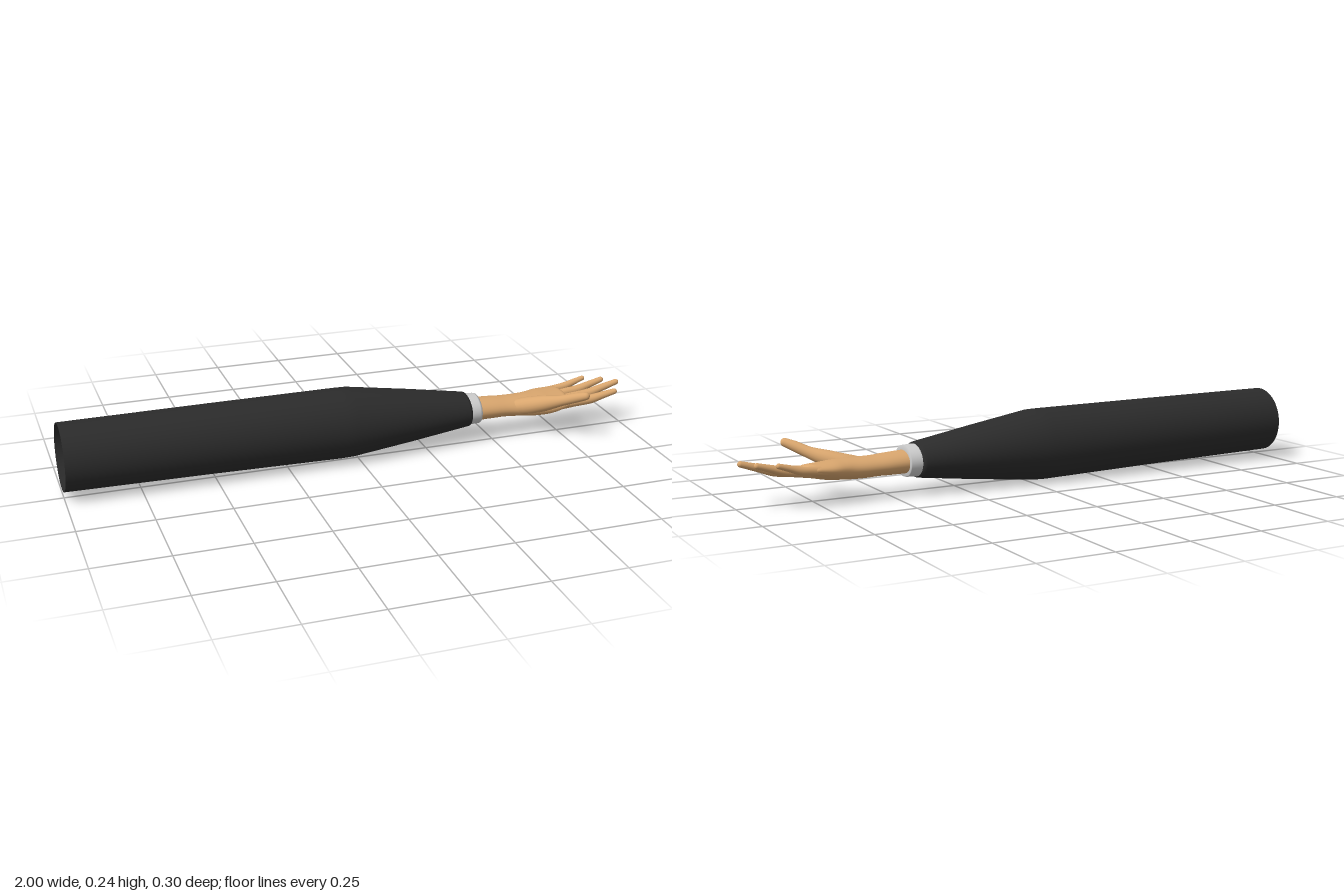
import * as THREE from 'three';

const UP = new THREE.Vector3(0, 1, 0);

// Rows of [x, y, z, height radius, width radius, roll] -> smooth rows
function refine(rows, steps) {
  const curve = new THREE.CatmullRomCurve3(rows.map(r => new THREE.Vector3(r[0], r[1], r[2])), false, 'centripetal');
  const radii = new THREE.CatmullRomCurve3(rows.map(r => new THREE.Vector3(r[3], r[4], r[5] || 0)), false, 'centripetal');
  return Array.from({ length: steps + 1 }, (_, i) => {
    const p = curve.getPoint(i / steps), r = radii.getPoint(i / steps);
    return [p.x, p.y, p.z, r.x, r.y, r.z];
  });
}

// Elliptical cross-sections swept along the row centres, optionally with a domed end
function loft(rows, sides, domed) {
  const centre = i => new THREE.Vector3(...rows[i].slice(0, 3));
  const last = rows.length - 1;
  const pos = [], index = [];
  const ring = (c, side, up, h, w, roll) => {
    for (let j = 0; j < sides; j++) {
      const a = j / sides * Math.PI * 2;
      const s = Math.cos(a) * w, u = Math.sin(a) * h;
      const p = c.clone()
        .addScaledVector(side, s * Math.cos(roll) - u * Math.sin(roll))
        .addScaledVector(up, s * Math.sin(roll) + u * Math.cos(roll));
      pos.push(p.x, p.y, p.z);
    }
  };
  rows.forEach((r, i) => {
    const t = centre(Math.min(i + 1, last)).sub(centre(Math.max(i - 1, 0))).normalize();
    const side = UP.clone().cross(t).normalize();
    const up = t.clone().cross(side);
    ring(centre(i), side, up, r[3], r[4], r[5] || 0);
    if (domed && i === last) {
      for (let k = 1; k <= 5; k++) {
        const a = k / 5 * Math.PI / 2, f = Math.max(Math.cos(a), 0.01);
        ring(centre(i).addScaledVector(t, r[3] * Math.sin(a)), side, up, r[3] * f, r[4] * f, r[5] || 0);
      }
    }
  });
  const count = pos.length / 3 / sides;
  for (let i = 0; i < count - 1; i++) {
    for (let j = 0; j < sides; j++) {
      const k = (j + 1) % sides;
      const a = i * sides + j, b = i * sides + k, c = a + sides, d = b + sides;
      index.push(a, b, c, b, d, c);
    }
  }
  const geo = new THREE.BufferGeometry();
  geo.setAttribute('position', new THREE.Float32BufferAttribute(pos, 3));
  geo.setIndex(index);
  geo.computeVertexNormals();
  return geo;
}

export function createModel() {
  const model = new THREE.Group();
  model.name = 'arm';
  const cloth = new THREE.MeshStandardMaterial({ color: 0x2b2b2b, side: THREE.DoubleSide });
  const linen = new THREE.MeshStandardMaterial({ color: 0xcccccc, side: THREE.DoubleSide });
  const skin = new THREE.MeshStandardMaterial({ color: 0xd9a66e });
  const add = (parent, name, geo, mat) => {
    const mesh = new THREE.Mesh(geo, mat);
    mesh.name = name;
    parent.add(mesh);
  };

  // Jacket sleeve, open at the shoulder and turned in at the hem
  add(model, 'sleeve', loft([
    [-1, 0.135, -0.026, 0.113, 0.114],
    [-0.5, 0.13, -0.031, 0.117, 0.118],
    [-0.06, 0.124, -0.035, 0.121, 0.121],
    [-0.02, 0.124, -0.035, 0.12, 0.12],
    [0.2, 0.118, -0.038, 0.09, 0.098],
    [0.4, 0.113, -0.04, 0.06, 0.076],
    [0.41, 0.113, -0.04, 0.058, 0.074],
    [0.412, 0.113, -0.04, 0.05, 0.06],
  ], 48), cloth);

  // Shirt cuff
  add(model, 'cuff', loft([
    [0.395, 0.112, -0.04, 0.054, 0.068],
    [0.445, 0.112, -0.038, 0.052, 0.065],
    [0.45, 0.112, -0.038, 0.051, 0.064],
    [0.451, 0.112, -0.038, 0.036, 0.055],
  ], 40), linen);

  const hand = new THREE.Group();
  hand.name = 'hand';
  model.add(hand);

  // Wrist and palm, tilted up towards the little finger
  add(hand, 'palm', loft(refine([
    [0.41, 0.111, -0.036, 0.039, 0.057, 0],
    [0.52, 0.108, -0.038, 0.036, 0.055, 0],
    [0.6, 0.105, -0.037, 0.035, 0.056, 0.05],
    [0.66, 0.105, -0.032, 0.034, 0.068, 0.12],
    [0.72, 0.107, -0.037, 0.03, 0.074, 0.15],
    [0.775, 0.112, -0.042, 0.022, 0.069, 0.15],
  ], 24), 32, true), skin);

  // Thumb with its fleshy base, spread forward and upward
  add(hand, 'thumb', loft(refine([
    [0.56, 0.105, -0.02, 0.022, 0.022],
    [0.63, 0.113, 0.003, 0.031, 0.032],
    [0.68, 0.128, 0.036, 0.028, 0.028],
    [0.73, 0.147, 0.075, 0.019, 0.019],
    [0.765, 0.165, 0.108, 0.017, 0.017],
    [0.79, 0.176, 0.13, 0.014, 0.014],
  ], 20), 20, true), skin);

  // Fingers: root, middle joint and tip centres, then size
  const fingers = [
    ['indexFinger', [0.74, 0.099, 0.003], [0.87, 0.111, 0.014], [0.958, 0.134, 0.025], 1],
    ['middleFinger', [0.74, 0.1, -0.031], [0.88, 0.117, -0.027], [0.988, 0.149, -0.023], 1],
    ['ringFinger', [0.74, 0.106, -0.065], [0.86, 0.121, -0.065], [0.95, 0.147, -0.066], 0.96],
    ['littleFinger', [0.73, 0.115, -0.092], [0.82, 0.125, -0.098], [0.893, 0.147, -0.1], 0.85],
  ];
  for (const [name, root, mid, tip, s] of fingers) {
    const between = (a, b, f) => a.map((v, i) => v + (b[i] - v) * f);
    add(hand, name, loft(refine([
      [...root, 0.019 * s, 0.019 * s],
      [...between(root, mid, 0.55), 0.0165 * s, 0.016 * s],
      [...mid, 0.016 * s, 0.016 * s],
      [...between(mid, tip, 0.5), 0.013 * s, 0.0135 * s],
      [...tip, 0.01 * s, 0.011 * s],
    ], 18), 16, true), skin);
  }
  return model;
}
